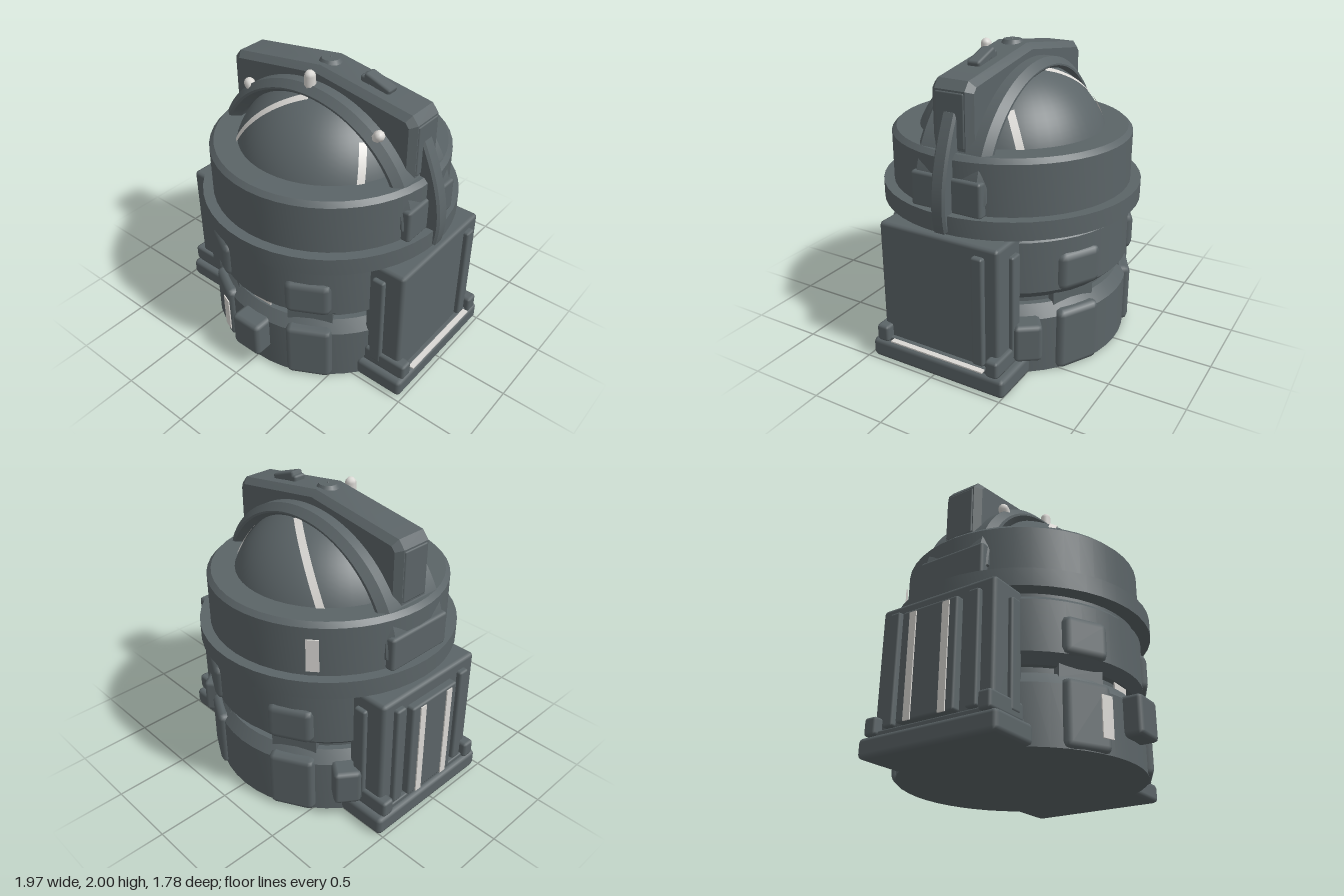
import * as THREE from 'three';
import { toCreasedNormals } from 'three/addons/utils/BufferGeometryUtils.js';
import { RoundedBoxGeometry } from 'three/addons/geometries/RoundedBoxGeometry.js';

export function createModel() {
  const model = new THREE.Group();
  model.name = 'domedMachine';
  const body = new THREE.Group();
  body.name = 'body';
  body.position.z = -0.02;
  model.add(body);

  const slate = new THREE.MeshStandardMaterial({ color: 0x5b6467 });
  slate.name = 'slate grey';
  const pale = new THREE.MeshStandardMaterial({ color: 0xdad8d4, side: THREE.DoubleSide });
  pale.name = 'pale trim';

  const add = (name, geo, mat = slate, x = 0, y = 0, z = 0) => {
    const m = new THREE.Mesh(geo, mat);
    m.name = name;
    m.position.set(x, y, z);
    body.add(m);
    return m;
  };
  // Bevelled box given by its extents
  const box = (name, x0, x1, y0, y1, z0, z1, bevel = 0.02, mat = slate) => {
    const w = x1 - x0, h = y1 - y0, d = z1 - z0;
    const geo = bevel ? new RoundedBoxGeometry(w, h, d, 1, bevel) : new THREE.BoxGeometry(w, h, d);
    return add(name, geo, mat, (x0 + x1) / 2, (y0 + y1) / 2, (z0 + z1) / 2);
  };
  // Box whose outer face sits at a radius and angle around the body (0 = front)
  const radialBox = (name, angle, outer, depth, width, y0, y1, bevel, mat) => {
    const m = box(name, -width / 2, width / 2, y0, y1, -depth / 2, depth / 2, bevel, mat);
    const r = outer - depth / 2;
    m.position.x = r * Math.sin(angle);
    m.position.z = r * Math.cos(angle);
    m.rotation.y = angle;
    return m;
  };
  const lathe = (name, pts) => add(name, toCreasedNormals(
    new THREE.LatheGeometry(pts.map(p => new THREE.Vector2(p[0], p[1])), 48), 0.4));
  // Extrusion centred on z, with a bevel kept inside the total depth
  const slab = (name, shape, depth, bevel) => {
    const geo = new THREE.ExtrudeGeometry(shape, {
      depth: depth - 2 * bevel, bevelThickness: bevel, bevelSize: bevel, bevelOffset: -bevel,
      bevelSegments: 1, curveSegments: 32,
    });
    geo.translate(0, 0, -depth / 2 + bevel);
    return add(name, toCreasedNormals(geo, 0.4));
  };

  // Round hull
  lathe('lowerHull', [[0, 0], [0.8, 0], [0.8, 0.38], [0.74, 0.46], [0, 0.46]]);
  lathe('waist', [[0.7, 0.44], [0.7, 0.53]]);
  lathe('upperHull', [[0, 0.51], [0.74, 0.51], [0.8, 0.57], [0.8, 0.91], [0.77, 0.94], [0.77, 0.98]]);
  lathe('flange', [[0, 0.96], [0.87, 0.96], [0.87, 1.08], [0.79, 1.08]]);
  lathe('collar', [[0.8, 1.07], [0.8, 1.41], [0.77, 1.44], [0.6, 1.44]]);
  const R = 0.66, domeY = 1.2;
  add('dome', new THREE.SphereGeometry(R, 48, 20, 0, Math.PI * 2, 0, 1.35), slate, 0, domeY, 0);

  // Hull bosses, front and back
  for (const a of [0.5, -0.5, Math.PI - 0.5, Math.PI + 0.5]) {
    radialBox('lowerBoss', a, 0.825, 0.2, 0.31, 0, 0.42, 0.04);
    radialBox('upperBoss', a, 0.825, 0.2, 0.31, 0.56, 0.82, 0.05);
    radialBox('waistBlock', a, 0.74, 0.2, 0.3, 0.44, 0.53, 0);
  }
  radialBox('frontBox', 0, 0.91, 0.2, 0.23, 0.14, 0.4, 0.03);
  for (const s of [-1, 1]) radialBox('rearBox', s * 2.2, 0.92, 0.2, 0.18, 0.15, 0.4, 0.03);

  // Pale plates
  radialBox('frontMark', -0.365, 0.842, 0.008, 0.08, 0.08, 0.34, 0, pale);
  radialBox('waistMark', 0, 0.725, 0.008, 0.15, 0.46, 0.51, 0, pale);
  radialBox('collarMark', Math.PI + 0.69, 0.818, 0.009, 0.08, 1.12, 1.34, 0, pale);

  // Dome stripes: ribbons following great arcs
  const stripe = (a, b, width) => {
    const from = new THREE.Vector3(...a).normalize(), to = new THREE.Vector3(...b).normalize();
    const side = new THREE.Vector3().crossVectors(from, to).normalize();
    const pos = [], idx = [], n = 16;
    for (let i = 0; i <= n; i++) {
      const c = from.clone().lerp(to, i / n).normalize();
      for (const s of [-1, 1]) {
        const p = c.clone().multiplyScalar(R + 0.007).addScaledVector(side, s * width / 2);
        pos.push(p.x, p.y, p.z);
      }
      if (i < n) idx.push(2 * i, 2 * i + 2, 2 * i + 1, 2 * i + 1, 2 * i + 2, 2 * i + 3);
    }
    // Wind faces outward
    if (side.clone().cross(to.clone().sub(from)).dot(from) > 0) idx.reverse();
    const geo = new THREE.BufferGeometry();
    geo.setAttribute('position', new THREE.Float32BufferAttribute(pos, 3));
    geo.setIndex(idx);
    geo.computeVertexNormals();
    add('domeStripe', geo, pale, 0, domeY, 0);
  };
  for (const s of [-1, 1]) {
    stripe([-0.42, 0.22, 0.46 * s], [0.02, 0.61, 0.24 * s], 0.05);
    stripe([0.51, 0.22, 0.35 * s], [0.43, 0.44, 0.23 * s], 0.05);
  }

  // Arch over the dome
  const arch = new THREE.Shape();
  arch.absellipse(0, 1.12, 0.815, 0.76, 0, Math.PI, false);
  arch.lineTo(-0.72, 1.09);
  arch.absellipse(0, 1.12, 0.7, 0.66, Math.PI, 0, true);
  arch.closePath();
  slab('arch', arch, 0.52, 0.045);
  for (const s of [-1, 1]) box('archFoot', s * 0.76 - 0.055, s * 0.76 + 0.055, 1.07, 1.3, -0.25, 0.25, 0.02);

  // Roof bar across the arch
  const bar = new THREE.Shape([[-0.735, 1.4], [0.735, 1.4], [0.735, 1.81], [0.69, 1.865], [0, 1.97],
    [-0.69, 1.865], [-0.735, 1.81]].map(p => new THREE.Vector2(p[0], p[1])));
  slab('roofBar', bar, 0.29, 0.04);
  for (const s of [-1, 1]) box('barEndPanel', s * 0.73 - 0.012, s * 0.73 + 0.012, 1.46, 1.8, -0.1, 0.1, 0.01);
  add('roofCap', new THREE.CylinderGeometry(0.06, 0.085, 0.04, 16), slate, 0, 1.965, 0);
  add('roofTip', new THREE.ConeGeometry(0.015, 0.03, 8), slate, 0, 1.985, 0);
  const latch = box('roofLatch', 0.28, 0.48, 1.9, 1.96, -0.045, 0.045, 0.015);
  latch.rotation.z = -0.33;
  box('latchBase', 0.26, 0.34, 1.87, 1.965, -0.045, 0.045, 0.015);

  // Pegs around the front of the arch
  for (const [a, len] of [[-0.74, 0.08], [0, 0.11], [0.74, 0.08]]) {
    const peg = add('peg', new THREE.CapsuleGeometry(0.037, len - 0.05, 3, 8), pale,
      0.77 * Math.sin(a), 1.125 + 0.78 * Math.cos(a), 0.2);
    peg.rotation.z = -a;
  }

  // Curved fin on the left side
  const fin = new THREE.Shape();
  fin.moveTo(0.7, 0.96);
  fin.lineTo(0.88, 0.96);
  fin.quadraticCurveTo(0.955, 1.25, 0.745, 1.68);
  fin.lineTo(0.68, 1.68);
  fin.closePath();
  slab('sideFin', fin, 0.1, 0.015);

  // Side units
  for (const s of [-1, 1]) {
    const sideBox = (name, x0, x1, ...rest) =>
      s > 0 ? box(name, x0, x1, ...rest) : box(name, -x1, -x0, ...rest);
    sideBox('sideHousing', 0.64, 0.92, 0.1, 0.96, -0.43, 0.43, 0.025);
    sideBox('sideFoot', 0.625, 0.98, 0, 0.13, -0.495, 0.495, 0.03);
    sideBox('sideSill', 0.65, 0.95, 0.11, 0.16, -0.45, 0.45, 0.01);
    for (const e of [-1, 1]) {
      const zc = e * 0.41;
      sideBox('sillBlock', 0.66, 0.98, 0.13, 0.245, zc - 0.045, zc + 0.045, 0.02);
      sideBox('sidePillar', 0.7, 0.79, 0.17, 0.87, e * 0.43 - 0.03, e * 0.43 + 0.03, 0.015);
    }
    sideBox('outerRib', 0.9, 0.955, 0.17, 0.9, -0.34, -0.26, 0.015);
  }
  box('leftLedge', 0.91, 0.985, 0.148, 0.157, -0.35, 0.34, 0, pale);
  box('rightRib', -0.955, -0.9, 0.17, 0.89, 0.26, 0.34, 0.015);
  box('rightPanel', -0.973, -0.9, 0.17, 0.87, -0.22, 0.2, 0.015);
  for (const z of [-0.13, 0.12]) box('rightStrip', -0.981, -0.972, 0.17, 0.85, z - 0.025, z + 0.025, 0, pale);

  return model;
}
